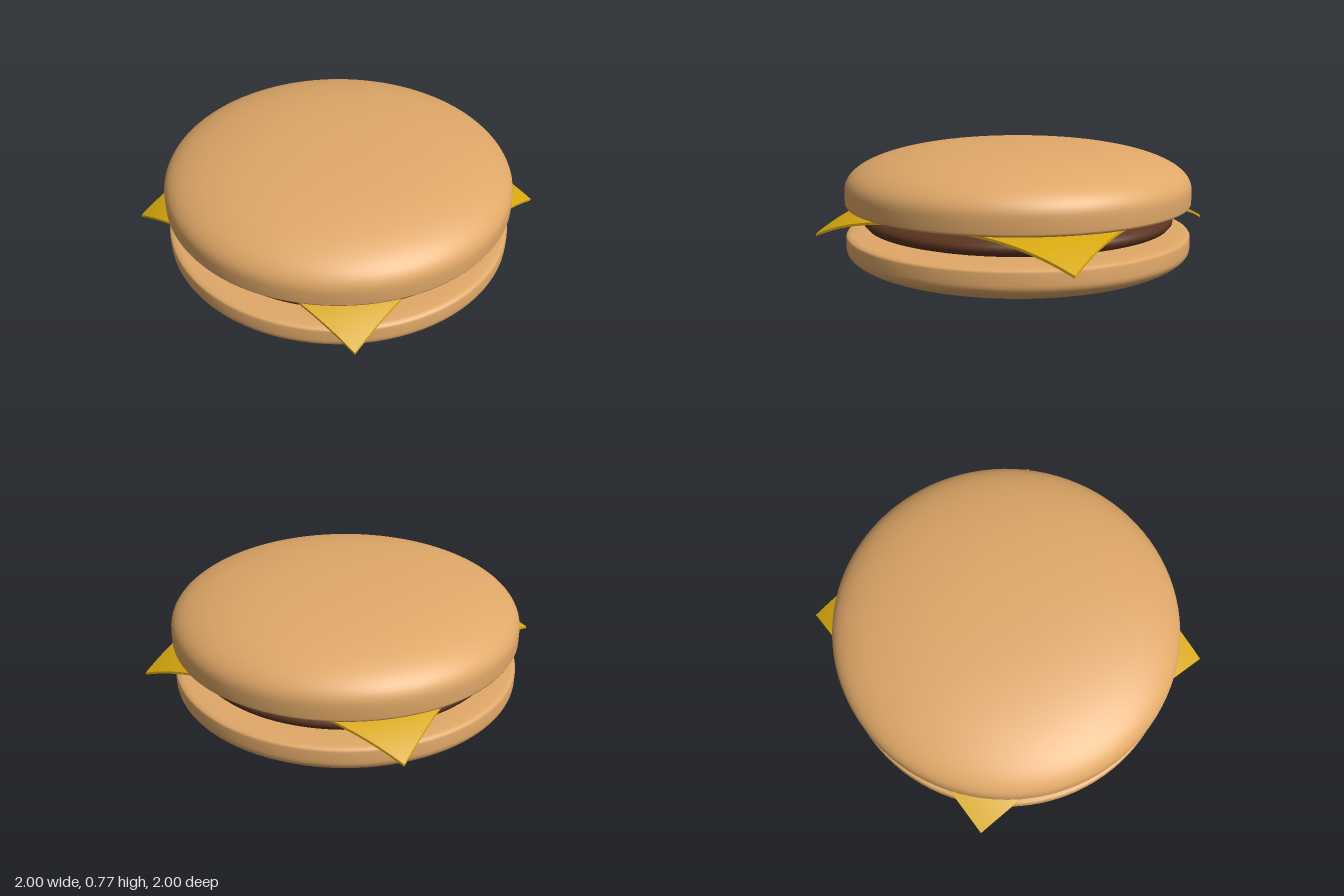
import * as THREE from 'three';

const mat = (color) => new THREE.MeshStandardMaterial({ color });
const v = (x, y) => new THREE.Vector2(x, y);

// Quarter superellipse from (1, y0) towards the axis at y0 + h
function dome(y0, h, n = 28) {
  const pts = [];
  for (let i = 0; i <= n; i++) {
    const a = (i / n) * Math.PI / 2, e = 2 / 2.3;
    const r = i === n ? 0 : Math.cos(a) ** e;
    pts.push(v(r, y0 + h * Math.sin(a) ** e));
  }
  return pts;
}

// Profiles run from the bottom axis outwards and up to the top axis
function lathe(name, points, material) {
  const mesh = new THREE.Mesh(new THREE.LatheGeometry(points, 96), material);
  mesh.name = name;
  return mesh;
}

// Thin square slice whose corners droop beyond the patty
function cheeseSlice() {
  const geo = new THREE.BoxGeometry(1.65, 0.014, 1.65, 48, 1, 48);
  const p = geo.attributes.position;
  for (let i = 0; i < p.count; i++) {
    const over = Math.max(0, Math.hypot(p.getX(i), p.getZ(i)) - 0.83);
    p.setY(i, p.getY(i) + 0.393 - 0.13 * (over / 0.337) ** 1.5);
  }
  geo.computeVertexNormals();
  const mesh = new THREE.Mesh(geo, mat(0xd9a90f));
  mesh.name = 'cheeseSlice';
  return mesh;
}

export function createModel() {
  const group = new THREE.Group();
  group.name = 'cheeseburger';
  const bun = mat(0xe0a868);

  // Bottom bun: rounded underside, nearly flat top
  group.add(lathe('bottomBun', [
    ...dome(0.18, -0.18).reverse(),
    v(1, 0.24), v(0.993, 0.252), v(0.97, 0.259), v(0.9, 0.263), v(0.6, 0.266), v(0, 0.267),
  ], bun));

  // Patty: thick disc with rounded rim
  group.add(lathe('patty', [
    v(0, 0.265), v(0.5, 0.268), v(0.75, 0.276), v(0.84, 0.283), v(0.88, 0.295), v(0.898, 0.315),
    v(0.9, 0.33), v(0.898, 0.346), v(0.88, 0.365), v(0.84, 0.377), v(0.7, 0.384), v(0, 0.387),
  ], mat(0x5c3420)));

  group.add(cheeseSlice());

  // Top bun: nearly flat underside, domed crown
  group.add(lathe('topBun', [
    v(0, 0.401), v(0.6, 0.403), v(0.9, 0.407), v(0.97, 0.412), v(0.993, 0.42), v(1, 0.433),
    ...dome(0.5, 0.27),
  ], bun));

  return group;
}
